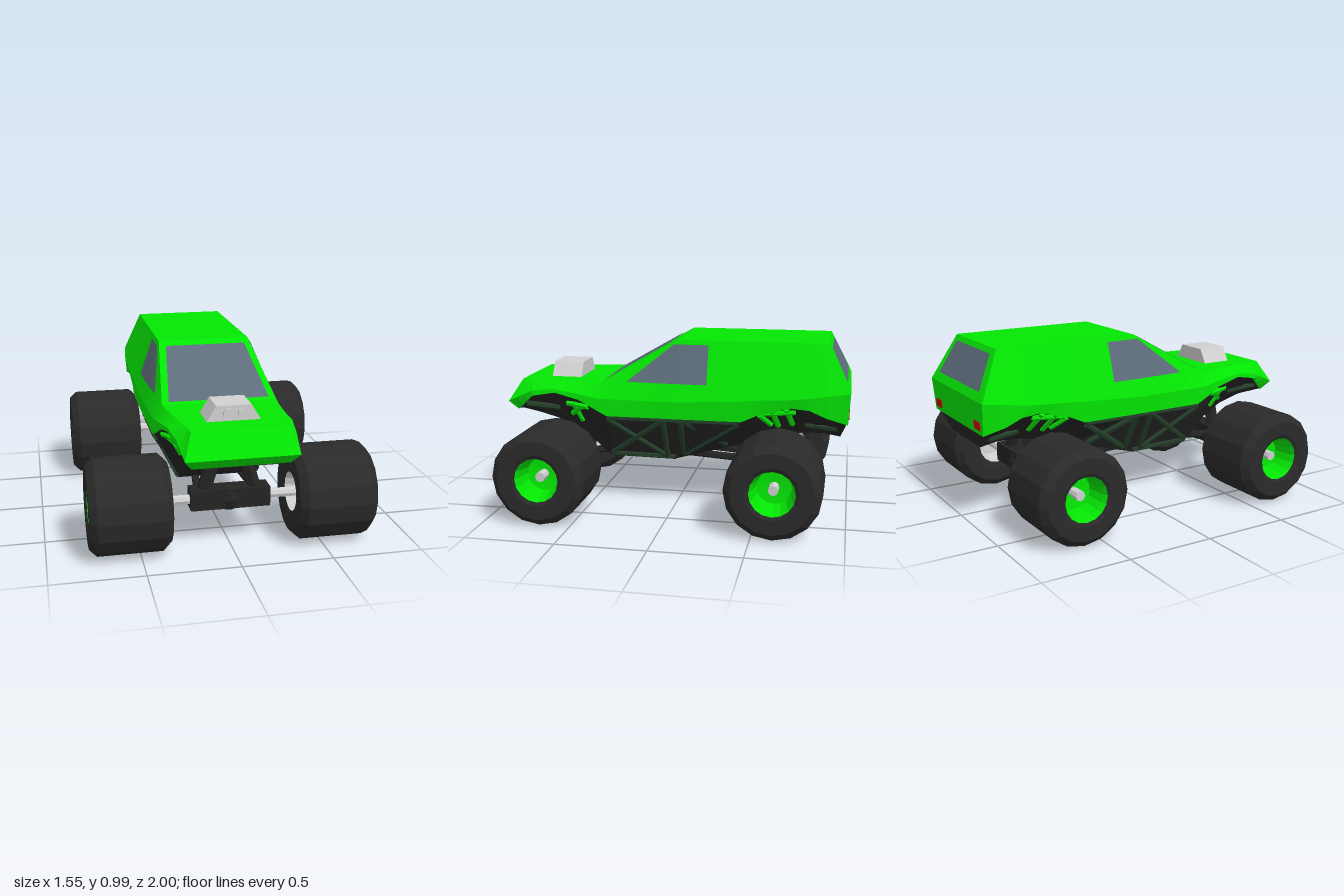
import * as THREE from 'three';

const mat = (name, color, side = THREE.FrontSide) =>
  Object.assign(new THREE.MeshStandardMaterial({ color, flatShading: true, side }), { name });

const lerp = THREE.MathUtils.lerp;
const mixRow = (a, b, t) => a.map((p, k) => p.map((v, j) => lerp(v, b[k][j], t)));

// Closed, mirrored loft. Each row is the +x half of a section, bottom to top, as [x, y, z]; rows run front to back.
function loft(halfRows, steps) {
  const rows = [];
  halfRows.forEach((r, i) => {
    if (i === halfRows.length - 1) return rows.push(r);
    for (let s = 0; s < steps; s++) rows.push(mixRow(r, halfRows[i + 1], s / steps));
  });
  const loops = rows.map(r => [...r, ...r.map(([x, y, z]) => [-x, y, z]).reverse()]);
  const pos = [];
  const quad = (a, b, c, d) => pos.push(...a, ...b, ...c, ...a, ...c, ...d);
  const n = loops[0].length;
  for (let i = 0; i < loops.length - 1; i++)
    for (let k = 0; k < n; k++) {
      const m = (k + 1) % n;
      quad(loops[i][k], loops[i + 1][k], loops[i + 1][m], loops[i][m]);
    }
  const f = loops[0], b = loops[loops.length - 1];
  for (let k = 0; k < n / 2 - 1; k++) {
    quad(f[k], f[k + 1], f[n - 2 - k], f[n - 1 - k]);
    quad(b[n - 1 - k], b[n - 2 - k], b[k + 1], b[k]);
  }
  return fromPositions(pos);
}

function fromPositions(pos) {
  const g = new THREE.BufferGeometry();
  g.setAttribute('position', new THREE.Float32BufferAttribute(pos, 3));
  g.computeVertexNormals();
  return g;
}

// Body sections: z, top edge, belt line, lower edge
const BODY = [
  [.85, .262, .73, .318, .67, .32, .64],
  [.7, .285, .73, .34, .69, .343, .67],
  [.55, .307, .73, .358, .67, .358, .635],
  [.43, .325, .73, .37, .65, .37, .575],
  [.38, .319, .759, .373, .65, .372, .55],
  [-.02, .27, .99, .385, .65, .377, .55],
  [-.4, .27, .99, .385, .67, .377, .55],
  [-.5, .27, .99, .385, .68, .375, .595],
  [-.68, .27, .99, .385, .69, .375, .64],
  [-.78, .27, .99, .383, .70, .375, .63],
  [-.87, .27, .99, .38, .715, .37, .59],
].map(([z, tx, ty, bx, by, lx, ly]) => [[lx, ly, z], [bx, by, z], [tx, ty, z]]);
BODY.unshift([[.26, .545, .955], [.30, .60, 1], [.255, .73, .92]]);
BODY.push([[.34, .55, -.99], [.365, .73, -1], [.365, .73, -1]]);

// Chassis tub sections: z, upper half width and height, floor half width and height
const TUB = [
  [.95, .258, .55, .2, .54], [.85, .308, .655, .17, .51], [.7, .33, .685, .17, .47],
  [.55, .35, .655, .19, .40], [.43, .363, .59, .21, .30], [.38, .368, .56, .22, .28],
  [0, .372, .56, .22, .275], [-.4, .372, .56, .19, .38], [-.5, .368, .61, .17, .41],
  [-.68, .367, .655, .17, .45], [-.78, .367, .645, .18, .46], [-.85, .362, .61, .18, .46],
  [-.95, .345, .565, .2, .45], [-.982, .33, .56, .2, .52],
].map(([z, x, y, fx, fy]) => [[fx, fy, z], [x, y, z]]);

// x of a side surface at (z, y), between section points k and k + 1
function sideX(rows, k, z, y) {
  const i = rows.findIndex((r, j) => j + 1 < rows.length && z <= r[k][2] && z >= rows[j + 1][k][2]);
  const r = mixRow(rows[i], rows[i + 1], (rows[i][k][2] - z) / (rows[i][k][2] - rows[i + 1][k][2]));
  return lerp(r[k][0], r[k + 1][0], (y - r[k][1]) / (r[k + 1][1] - r[k][1]));
}

export function createModel() {
  const green = mat('bright green paint', 0x04ec04);
  const glass = mat('grey blue glass', 0x5d6d7b, THREE.DoubleSide);
  const rubber = mat('tyre rubber', 0x2a2a2a);
  const dark = mat('dark chassis', 0x242424);
  const frame = mat('dark green frame', 0x243f2a);
  const metal = mat('light metal', 0xd0d0d0);
  const red = mat('red lamp', 0xcc0808);

  const model = new THREE.Group();
  model.name = 'monsterTruck';
  const add = (name, geo, m, parent = model) => {
    const mesh = new THREE.Mesh(geo, m);
    mesh.name = name;
    parent.add(mesh);
    return mesh;
  };
  const box = (name, m, w, h, d, x, y, z) =>
    add(name, new THREE.BoxGeometry(w, h, d), m).position.set(x, y, z);
  const bar = (name, m, a, b, r, sides = 6) => {
    const p = new THREE.Vector3(...a), q = new THREE.Vector3(...b);
    const mesh = add(name, new THREE.CylinderGeometry(r, r, p.distanceTo(q), sides), m);
    mesh.position.copy(p).lerp(q, .5);
    mesh.quaternion.setFromUnitVectors(new THREE.Vector3(0, 1, 0), q.sub(p).normalize());
  };

  add('bodyShell', loft(BODY, 3), green);
  add('chassisTub', loft(TUB, 1), dark);

  // Windscreen and rear window, just proud of their panels
  const pane = (name, x0, y0, z0, x1, y1, z1) =>
    add(name, fromPositions([-x0, y0, z0, x0, y0, z0, x1, y1, z1, -x0, y0, z0, x1, y1, z1, -x1, y1, z1]), glass);
  pane('windscreen', .285, .743, .42, .235, .969, .03);
  pane('rearWindow', -.285, .778, -.981, -.23, .962, -.889);

  // Side windows follow the slanting cab sides
  const zs = [.26, .19, .12, .05, 0, -.02, -.11, -.2];
  const levels = [0, .25, .5, .75, 1];
  for (const s of [1, -1]) {
    const grid = zs.map(z => levels.map(t => {
      const y = lerp(.75, z > 0 ? lerp(.965, .755, z / .26) : .965, t);
      return [s * (sideX(BODY, 1, z, y) + .005), y, z];
    }));
    const pos = [];
    for (let i = 0; i < zs.length - 1; i++)
      for (let j = 0; j < 4; j++) {
        const q = [grid[i][j], grid[i + 1][j], grid[i + 1][j + 1], grid[i][j + 1]];
        if (s < 0) q.reverse();
        pos.push(...q[0], ...q[1], ...q[2], ...q[0], ...q[2], ...q[3]);
      }
    add('sideWindow', fromPositions(pos), glass);
    box('tailLight', red, .08, .045, .009, s * .275, .598, -.992);
  }

  // Bonnet air intake with two round inlets
  const shape = new THREE.Shape([[-.148, .725], [.148, .725], [.095, .813], [-.095, .813]].map(p => new THREE.Vector2(...p)));
  add('airIntake', new THREE.ExtrudeGeometry(shape, { depth: .18, bevelEnabled: false }), metal).position.z = .595;
  for (const [x, r] of [[-.03, .03], [.04, .02]])
    bar('intakeInlet', metal, [x, .77, .77], [x, .77, .79], r, 12);

  // Tube frame on the tub flanks: [material, z, y, z, y]
  const tubes = [
    [frame, .38, .53, .06, .30], [frame, .38, .30, .06, .53], [frame, .05, .54, .05, .29],
    [frame, -.05, .54, -.05, .31], [frame, -.07, .32, -.38, .53], [frame, -.07, .53, -.3, .38],
    [frame, .38, .54, -.38, .54], [frame, .38, .295, 0, .29],
    [frame, .9, .58, .7, .56], [frame, -.75, .52, -.93, .51],
    [green, .64, .60, .50, .59], [green, .62, .53, .53, .60], [green, .60, .61, .56, .49],
    [green, -.50, .59, -.56, .52], [green, -.57, .62, -.60, .51], [green, -.65, .63, -.68, .52],
    [green, -.52, .60, -.70, .61],
  ];
  for (const s of [1, -1])
    for (const [m, z0, y0, z1, y1] of tubes)
      bar('frameTube', m, [s * sideX(TUB, 0, z0, y0), y0, z0], [s * sideX(TUB, 0, z1, y1), y1, z1], .017);

  // Wheel profiles as [radius, distance outwards]
  const lathe = pts => new THREE.LatheGeometry(pts.map(p => new THREE.Vector2(...p)), 16).rotateZ(-Math.PI / 2);
  const tyre = lathe([[.11, .01], [.145, 0], [.225, 0], [.264, .04], [.264, .395], [.225, .435], [.145, .435], [.125, .425]]);
  const rim = lathe([[.125, .425], [.115, .40], [.095, .29], [0, .28]]);
  const backRim = lathe([[0, .12], [.085, .11], [.11, .01]]);

  for (const z of [.675, -.615]) {
    for (const s of [1, -1]) {
      const wheel = new THREE.Group();
      wheel.name = 'wheel';
      wheel.position.set(s * .34, .265, z);
      if (s < 0) wheel.rotation.y = Math.PI;
      add('tyre', tyre, rubber, wheel);
      add('wheelRim', rim, green, wheel);
      add('innerRim', backRim, metal, wheel);
      model.add(wheel);
      // Shock absorber and suspension link
      bar('shockAbsorber', dark, [s * .15, .28, z], [s * .09, .48, z], .04);
      bar('suspensionLink', dark, [s * .17, .27, z], [s * .13, .30, z > 0 ? .36 : .02], .022);
    }
    bar('axle', metal, [-.7, .265, z], [.7, .265, z], .028, 8);
    box('axleHousing', dark, .44, .11, .11, 0, .27, z);
    const diff = add('differential', new THREE.SphereGeometry(.075, 8, 6), dark);
    diff.position.set(0, .265, z);
  }
  bar('driveShaft', dark, [0, .27, -.55], [0, .31, 0], .02);

  return model;
}
